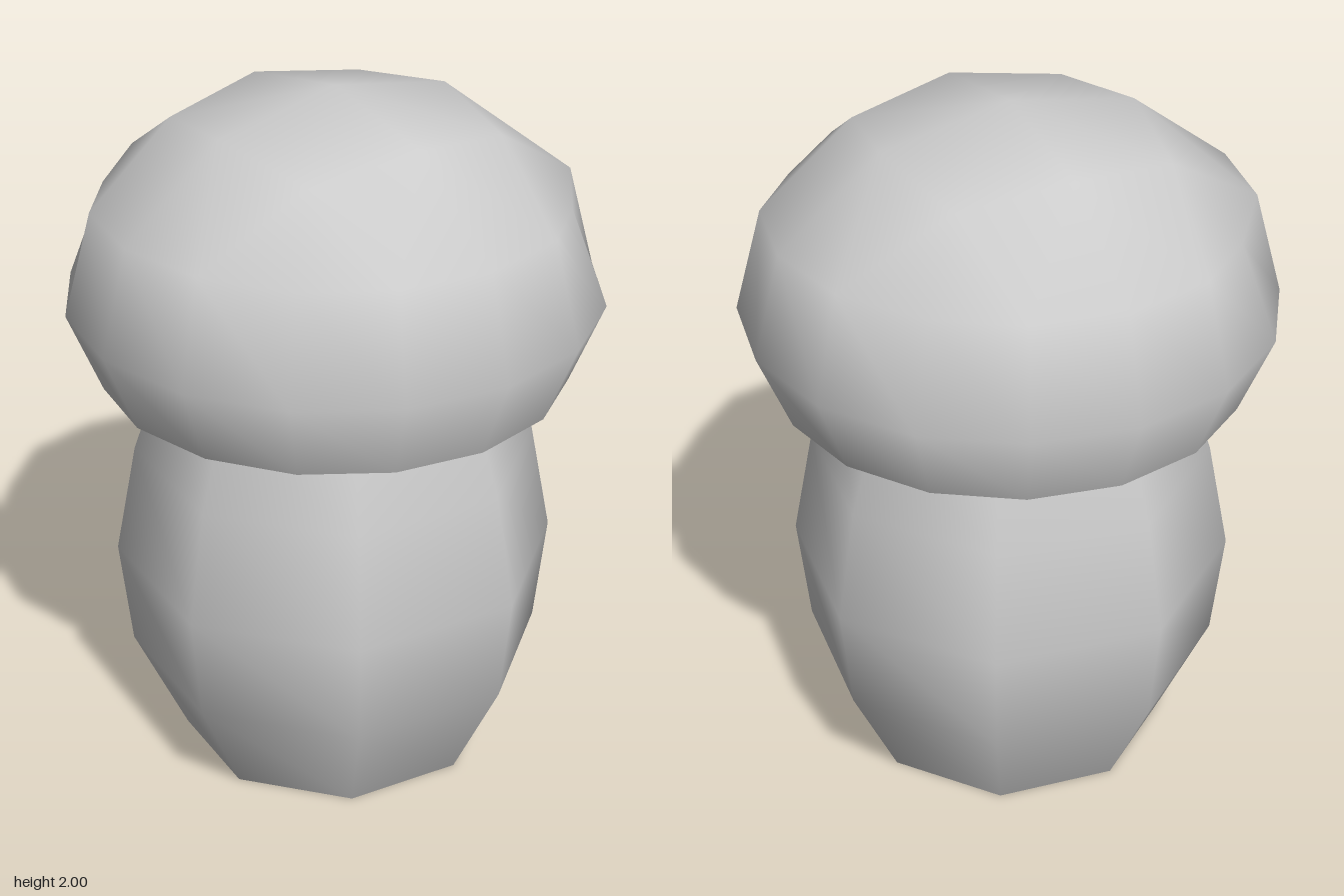
import * as THREE from 'three';

const TWIST = THREE.MathUtils.degToRad(15);

// Flat polygon facing down
function underside(name, radius, sides, y, start, material) {
  const geometry = new THREE.CircleGeometry(radius, sides, start);
  geometry.rotateX(Math.PI / 2);
  geometry.translate(0, y, 0);
  const mesh = new THREE.Mesh(geometry, material);
  mesh.name = name;
  return mesh;
}

// Rounded dome: apex, ring of 8, then three rings of 16
function capGeometry() {
  const positions = [0, 2, 0];
  const index = [];
  const addRing = (count, profile) => {
    const first = positions.length / 3;
    for (let i = 0; i < count; i++) {
      const a = (i / count) * Math.PI * 2;
      const [r, y] = profile(i);
      positions.push(r * Math.sin(a), y, r * Math.cos(a));
    }
    return (i) => first + (i % count);
  };

  const crown = addRing(8, (i) => (i % 2 ? [0.45, 1.885] : [0.375, 1.93]));
  const shoulder = addRing(16, (i) => (i % 4 === 2 ? [0.645, 1.685] : [0.672, 1.7]));
  const widest = addRing(16, () => [0.75, 1.405]);
  const rim = addRing(16, () => [0.655, 1.175]);

  for (let k = 0; k < 8; k++) index.push(0, crown(k), crown(k + 1));
  for (let k = 0; k < 8; k += 2) {
    const s = (n) => shoulder(2 * k + n);
    const mid = crown(k), corner = crown(k + 1), next = crown(k + 2);
    index.push(mid, s(0), s(1), mid, s(1), corner);
    index.push(corner, s(1), s(2), corner, s(2), s(3));
    index.push(corner, s(3), next, next, s(3), s(4));
  }
  for (const [up, low] of [[shoulder, widest], [widest, rim]]) {
    for (let i = 0; i < 16; i++) {
      index.push(up(i), low(i), low(i + 1), up(i), low(i + 1), up(i + 1));
    }
  }

  const geometry = new THREE.BufferGeometry();
  geometry.setAttribute('position', new THREE.Float32BufferAttribute(positions, 3));
  geometry.setIndex(index);
  geometry.computeVertexNormals();
  return geometry;
}

export function createModel() {
  const grey = new THREE.MeshStandardMaterial({ color: 0xcccccc });
  grey.name = 'grey';

  const model = new THREE.Group();
  model.name = 'mushroom';

  // Bulging eight-sided stem, slightly turned
  const profile = [[0.445, 0], [0.595, 0.31], [0.63, 0.62], [0.57, 0.94], [0.488, 1.18]]
    .map(([r, y]) => new THREE.Vector2(r, y));
  const stem = new THREE.Mesh(new THREE.LatheGeometry(profile, 8, TWIST), grey);
  stem.name = 'stem';

  // Cap
  const cap = new THREE.Mesh(capGeometry(), grey);
  cap.name = 'cap';

  model.add(
    stem,
    underside('stemBase', 0.445, 8, 0, -TWIST, grey),
    cap,
    underside('capUnderside', 0.655, 16, 1.175, 0, grey),
  );
  return model;
}
